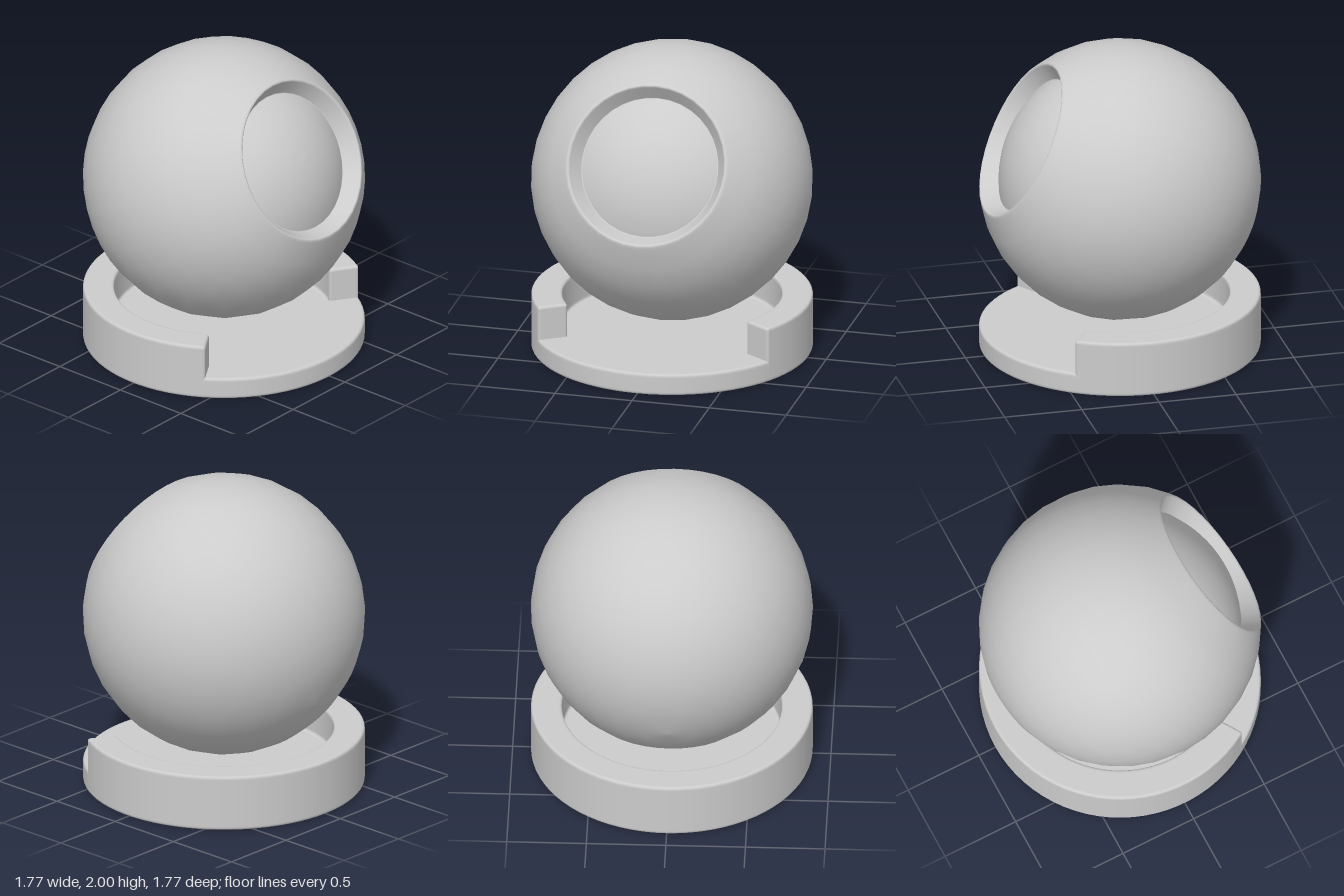
import * as THREE from 'three';

const material = new THREE.MeshStandardMaterial({ color: 0xcccccc, side: THREE.DoubleSide });

// Turns [x, y, radius] corners into a profile; a radius rounds that corner
function roundedProfile(corners) {
  const out = [];
  corners.forEach(([x, y, r = 0], i) => {
    const p = new THREE.Vector2(x, y);
    if (!r) { out.push(p); return; }
    const toward = (c, d) => p.clone().add(
      new THREE.Vector2(c[0] - x, c[1] - y).normalize().multiplyScalar(d));
    const prev = corners[i - 1], next = corners[i + 1];
    const curve = new THREE.QuadraticBezierCurve(toward(prev, r), p, toward(next, r));
    // support points just outside the arc keep the neighbouring faces flat
    out.push(toward(prev, r * 1.15), ...curve.getPoints(5), toward(next, r * 1.15));
  });
  return out;
}

function addMesh(parent, name, geometry) {
  const mesh = new THREE.Mesh(geometry, material);
  mesh.name = name;
  parent.add(mesh);
  return mesh;
}

// Points along a circular arc, measured from the profile's axis
function arc(radius, from, to, steps) {
  return Array.from({ length: steps + 1 }, (_, i) => {
    const t = from + (to - from) * i / steps;
    return [Math.max(0, radius * Math.sin(t)), radius * Math.cos(t)];
  });
}

// Ball with a round window cut down to an inner ball
function createBall() {
  const R = 0.887, inner = 0.762, rim = 0.608, innerRim = 0.617;
  const corners = [
    ...arc(R, Math.PI, rim + 0.035, 14),
    [R * Math.sin(rim), R * Math.cos(rim), 0.016],
    [inner * Math.sin(innerRim), inner * Math.cos(innerRim), 0.006],
    ...arc(inner, innerRim - 0.04, 0, 7),
  ];
  return new THREE.LatheGeometry(roundedProfile(corners), 36);
}

// Round base: a low step in front, a raised C-shaped rim around the rest
function createBase() {
  const base = new THREE.Group();
  base.name = 'base';
  const R = 0.885, rIn = 0.69, floor = 0.14, top = 0.36, bevel = 0.02;
  const open = THREE.MathUtils.degToRad(57.1);
  const start = open + 0.026;

  const frontProfile = roundedProfile([
    [0, 0], [R, 0, bevel], [R, floor, bevel], [0, floor]]);
  addMesh(base, 'frontStep', new THREE.LatheGeometry(frontProfile, 26, -start, 2 * start));

  const rimProfile = roundedProfile([
    [0, 0], [R, 0, bevel], [R, top, bevel], [rIn, top, bevel],
    [rIn, floor, bevel], [0, floor]]);
  addMesh(base, 'raisedRim',
    new THREE.LatheGeometry(rimProfile, 50, start, 2 * (Math.PI - start)));

  // Bevelled ends of the rim, cut along the radius
  const section = new THREE.Shape(roundedProfile([
    [0.8, 0.05], [R, 0.05], [R, top, bevel], [rIn, top, bevel], [rIn, 0.05]]));
  const endGeometry = new THREE.ExtrudeGeometry(section, {
    depth: 0.005, bevelThickness: 0.018, bevelSize: 0.018, bevelOffset: -0.018, bevelSegments: 4,
  });
  endGeometry.translate(0, 0, -0.0025);
  for (const side of [1, -1]) {
    const pivot = new THREE.Group();
    pivot.name = side > 0 ? 'leftRimEnd' : 'rightRimEnd';
    pivot.rotation.y = side * open - Math.PI / 2;
    addMesh(pivot, 'rimEnd', endGeometry).position.z = -side * 0.0205;
    base.add(pivot);
  }
  return base;
}

export function createModel() {
  const model = new THREE.Group();
  model.name = 'displayBall';
  model.add(createBase());

  const ball = addMesh(model, 'ball', createBall());
  ball.position.y = 1.115;
  ball.rotation.x = THREE.MathUtils.degToRad(62.7); // window faces forward and up
  return model;
}
